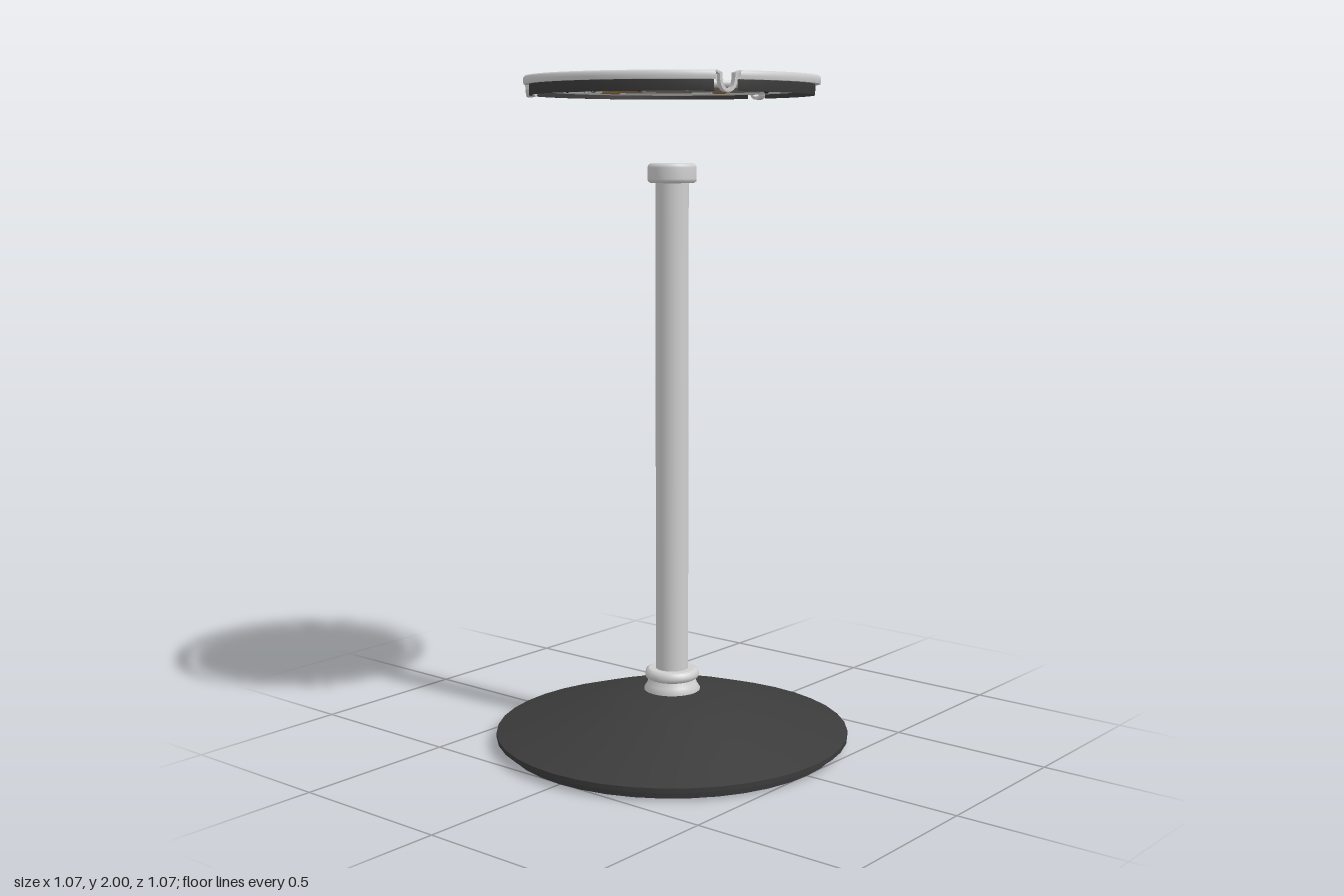
import * as THREE from 'three';

const mat = (name, color, side = THREE.FrontSide) => {
  const m = new THREE.MeshStandardMaterial({ color, side });
  m.name = name;
  return m;
};

export function createModel() {
  const black = mat('blackEnamel', 0x3b3b3b, THREE.DoubleSide);
  const steel = mat('brushedSteel', 0xcfcfcf, THREE.DoubleSide);
  const sand = mat('sand', 0x878072, THREE.DoubleSide);
  const paper = mat('paper', 0xf0f0ee);
  const cork = mat('corkFilter', 0x95703f);
  const ash = mat('ash', 0x6f695e);
  const char = mat('char', 0x2c2c2c);

  const model = new THREE.Group();
  model.name = 'standingAshtray';

  const add = (name, geometry, material, parent = model) => {
    const mesh = new THREE.Mesh(geometry, material);
    mesh.name = name;
    parent.add(mesh);
    return mesh;
  };
  // Smooth revolved runs; each run keeps its own normals so joins stay sharp
  const lathe = (name, runs, material, parent = model, start = 0, length = Math.PI * 2, segments = 40) => {
    for (const run of runs) {
      const pts = run.map(([r, y]) => new THREE.Vector2(r, y));
      add(name, new THREE.LatheGeometry(pts, segments, start, length), material, parent);
    }
  };

  // Weighted foot: hollow shallow dome with a stepped lip
  lathe('baseDome', [
    [[0.505, 0], [0.508, 0.022]],
    [[0.508, 0.022], [0.535, 0.026]],
    [[0.535, 0.026], [0.535, 0.04]],
    [[0.535, 0.04], [0.44, 0.072], [0.34, 0.105], [0.24, 0.136], [0.16, 0.157], [0.06, 0.166]],
  ], black);

  // Collar, pole and cap
  lathe('poleCollar', [
    [[0.001, 0.13], [0.083, 0.13]],
    [[0.083, 0.13], [0.085, 0.168], [0.076, 0.182], [0.07, 0.198]],
    [[0.07, 0.198], [0.08, 0.203], [0.082, 0.213], [0.079, 0.225], [0.07, 0.23]],
    [[0.07, 0.23], [0.048, 0.23]],
  ], steel);
  lathe('pole', [[[0.049, 0.22], [0.049, 1.7]]], steel);
  lathe('poleCap', [
    [[0.045, 1.693], [0.064, 1.693]],
    [[0.064, 1.693], [0.071, 1.698], [0.072, 1.705], [0.072, 1.738], [0.07, 1.745], [0.063, 1.75]],
    [[0.063, 1.75], [0.001, 1.75]],
  ], steel);

  // Outer rim: three arcs, each followed by a rest trough
  const rim = new THREE.Group();
  rim.name = 'rim';
  model.add(rim);
  const halfGap = 0.085;
  const third = Math.PI * 2 / 3;
  const trough = new THREE.Shape();
  trough.moveTo(-0.038, 1.996);
  trough.lineTo(-0.026, 1.99);
  trough.quadraticCurveTo(-0.026, 1.942, 0, 1.942);
  trough.quadraticCurveTo(0.026, 1.942, 0.026, 1.99);
  trough.lineTo(0.038, 1.996);
  trough.lineTo(0.034, 2);
  trough.lineTo(0.019, 1.994);
  trough.quadraticCurveTo(0.019, 1.951, 0, 1.951);
  trough.quadraticCurveTo(-0.019, 1.951, -0.019, 1.994);
  trough.lineTo(-0.034, 2);
  trough.closePath();
  for (let i = 0; i < 3; i++) {
    const notch = Math.PI + i * third;
    const start = notch + halfGap;
    const length = third - 2 * halfGap;
    lathe('rimLip', [
      [[0.43, 1.976], [0.432, 1.985], [0.431, 1.995], [0.426, 2], [0.417, 2], [0.412, 1.995], [0.411, 1.976]],
      [[0.411, 1.976], [0.43, 1.976]],
    ], steel, rim, start, length, 16);
    lathe('rimBand', [
      [[0.409, 1.945], [0.415, 1.945], [0.415, 1.977]],
      [[0.409, 1.98], [0.409, 1.945]],
    ], black, rim, start, length, 16);
    const rest = add('cigaretteRest', new THREE.ExtrudeGeometry(trough,
      { depth: 0.026, bevelEnabled: false, curveSegments: 6 }), steel, rim);
    rest.position.set(Math.sin(notch) * 0.406, 0, Math.cos(notch) * 0.406);
    rest.rotation.y = notch;
  }

  // Inner ring and the sand bed it holds
  const ring = add('innerRing', new THREE.TorusGeometry(0.364, 0.011, 10, 48), steel);
  ring.rotation.x = Math.PI / 2;
  ring.position.y = 1.966;
  lathe('sandBed', [[[0.358, 1.962], [0.22, 1.96], [0.1, 1.957], [0.001, 1.953]]], sand);

  // Litter: round rods following short paths on the sand
  const litter = new THREE.Group();
  litter.name = 'litter';
  model.add(litter);
  const rod = (name, points, radius, material, y = 1.966) => {
    const p = points.map(([x, z]) => new THREE.Vector3(x, y, z));
    const curve = p.length > 2 ? new THREE.CatmullRomCurve3(p) : new THREE.LineCurve3(p[0], p[1]);
    add(name, new THREE.TubeGeometry(curve, p.length > 2 ? 10 : 1, radius, 10), material, litter);
    // Flat end caps
    for (const t of [0, 1]) {
      const cap = add(name + 'End', new THREE.CircleGeometry(radius, 10), material, litter);
      cap.position.copy(curve.getPoint(t));
      const dir = curve.getTangent(t).multiplyScalar(t ? 1 : -1);
      cap.quaternion.setFromUnitVectors(new THREE.Vector3(0, 0, 1), dir);
    }
  };
  const butts = [
    { filter: [[0.066, -0.181], [0.003, -0.197]], stub: [[0.003, -0.197], [-0.097, -0.222]] },
    { filter: [[-0.236, -0.035], [-0.247, 0.034]], stub: [[-0.247, 0.034], [-0.254, 0.088]] },
    { filter: [[-0.129, 0.096], [-0.075, 0.045]], stub: [[-0.075, 0.045], [-0.061, 0.025], [-0.052, -0.006]] },
    { filter: [[0.195, 0.16], [0.138, 0.119]], stub: [[0.138, 0.119], [0.117, 0.103], [0.103, 0.053]] },
  ];
  for (const { filter, stub } of butts) {
    rod('filter', filter, 0.0125, cork);
    rod('paperStub', stub, 0.0115, paper);
  }
  rod('ashRoll', [[-0.219, 0.098], [-0.164, 0.162]], 0.0115, ash);
  rod('ashRoll', [[0.231, 0.015], [0.251, 0.065]], 0.0115, ash);
  rod('matchStick', [[0.1, -0.113], [0.165, -0.097], [0.226, -0.066]], 0.004, paper, 1.968);
  rod('matchHead', [[0.06, -0.122], [0.104, -0.112]], 0.0055, char, 1.968);

  // Crumbs
  const crumbs = [
    [0.196, -0.196, 0.01, char], [-0.012, -0.098, 0.006, char], [0.13, -0.028, 0.006, char],
    [0.089, 0.02, 0.005, char], [-0.002, 0.145, 0.009, char], [-0.293, 0.13, 0.006, char],
    [-0.046, -0.066, 0.004, cork], [-0.026, -0.055, 0.004, cork],
  ];
  for (const [x, z, r, material] of crumbs) {
    const crumb = add('crumb', new THREE.DodecahedronGeometry(r), material, litter);
    crumb.position.set(x, 1.961, z);
    crumb.rotation.y = x * 20;
  }
  return model;
}
